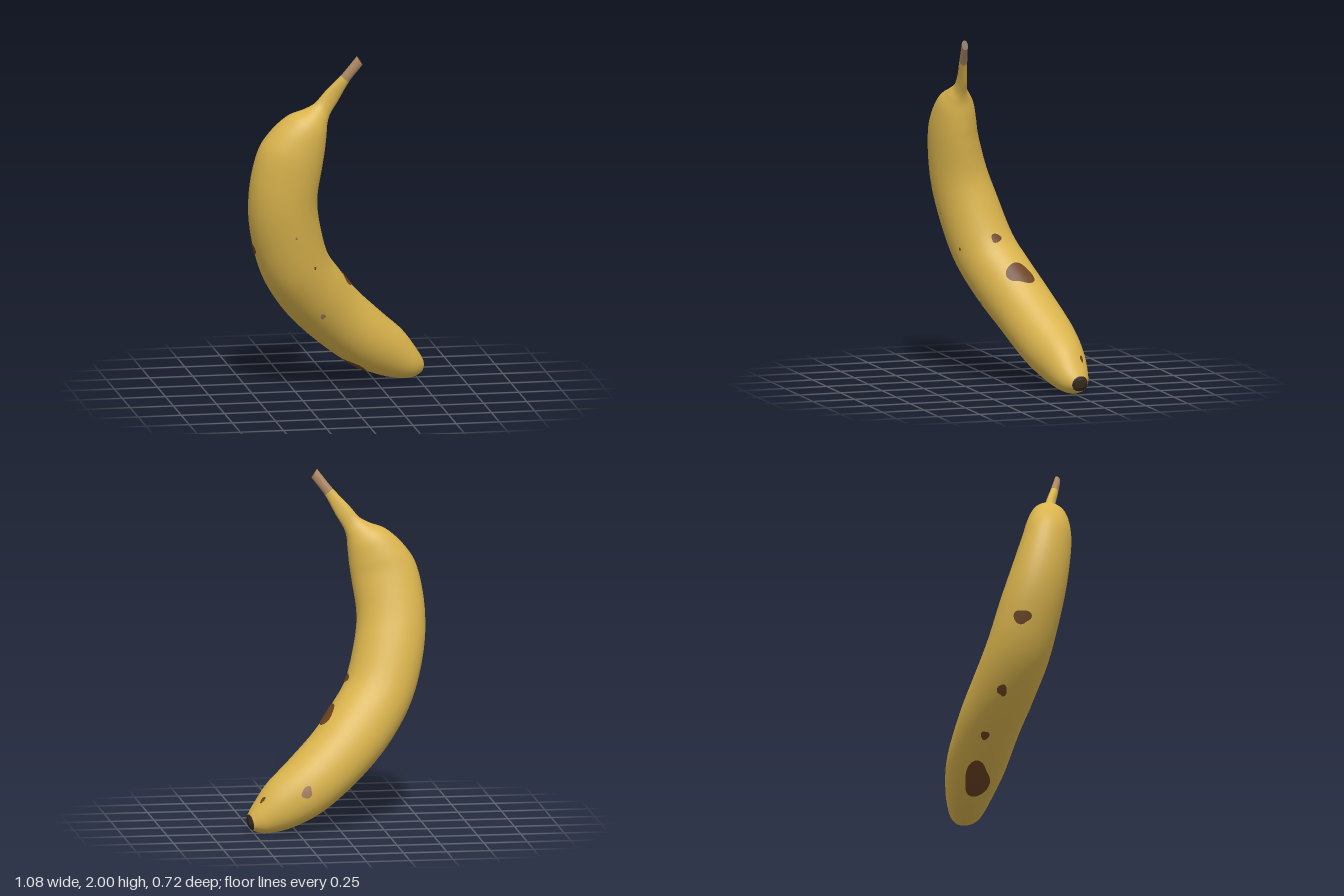
import * as THREE from 'three';

// Stations from stem to tip: outer x, y, inner x, y, centre z, sideways radius
const stations = [
  [0.058, 2.0, 0.09, 1.95, 0.279, 0.017], [-0.03, 1.887, 0.015, 1.85, 0.261, 0.022],
  [-0.12, 1.79, -0.045, 1.738, 0.242, 0.026], [-0.175, 1.725, -0.088, 1.665, 0.236, 0.036],
  [-0.235, 1.69, -0.106, 1.61, 0.236, 0.066], [-0.33, 1.65, -0.112, 1.54, 0.235, 0.102],
  [-0.43, 1.555, -0.12, 1.455, 0.23, 0.125], [-0.5, 1.43, -0.133, 1.36, 0.22, 0.139],
  [-0.537, 1.2, -0.155, 1.18, 0.181, 0.159], [-0.52, 0.96, -0.137, 1.03, 0.13, 0.173],
  [-0.44, 0.69, -0.08, 0.83, 0.06, 0.18], [-0.3, 0.47, 0.0, 0.71, -0.018, 0.181],
  [-0.12, 0.285, 0.12, 0.56, -0.106, 0.177], [0.1, 0.115, 0.285, 0.4, -0.182, 0.167],
  [0.28, 0.03, 0.41, 0.285, -0.221, 0.134], [0.43, 0.0, 0.49, 0.175, -0.243, 0.095],
  [0.508, 0.018, 0.526, 0.115, -0.26, 0.056], [0.533, 0.042, 0.537, 0.088, -0.262, 0.03],
];
const LAST = stations.length - 1;
const SIDES = 36;
const STEPS = 6;

const curve = (pick) => new THREE.CatmullRomCurve3(
  stations.map((s) => new THREE.Vector3(...pick(s))), false, 'catmullrom', 0.5);
const outerLine = curve(([x, y, , , z]) => [x, y, z]);
const innerLine = curve(([, , x, y, z]) => [x, y, z]);
const widthLine = curve((s) => [s[5], 0, 0]);

const centre = (k) =>
  outerLine.getPoint(k / LAST).add(innerLine.getPoint(k / LAST)).multiplyScalar(0.5);

// Change of the centre line per station, averaged over a span
function slope(k, span) {
  const a = Math.max(0, k - span), b = Math.min(LAST, k + span);
  return centre(b).sub(centre(a)).divideScalar(b - a);
}

// Skin point: angle 0 is the outer curve, PI the inner curve, PI / 2 the front
function skin(k, angle, lift = 0) {
  k = THREE.MathUtils.clamp(k, 0, LAST);
  const middle = centre(k);
  const outer = outerLine.getPoint(k / LAST).sub(middle);
  const depth = outer.length();
  outer.normalize();
  const side = new THREE.Vector3().crossVectors(outer, slope(k, 0.8)).normalize();
  const width = widthLine.getPoint(k / LAST).x;
  // soft ridge along the outer back
  const ridge = 1 + 0.12 * Math.max(0, Math.cos(angle + Math.PI / 4)) ** 4;
  return middle
    .addScaledVector(outer, (depth * ridge + lift) * Math.cos(angle))
    .addScaledVector(side, (width * ridge + lift) * Math.sin(angle));
}

function geometryFrom(points, index) {
  const geometry = new THREE.BufferGeometry().setFromPoints(points);
  geometry.setIndex(index);
  geometry.computeVertexNormals();
  return geometry;
}

// Closed skin with groups for stem, peel and tip
function skinGeometry() {
  const points = [], index = [];
  const rings = LAST * STEPS;
  for (let i = 0; i <= rings; i++) {
    for (let j = 0; j < SIDES; j++) points.push(skin(i / STEPS, (j / SIDES) * Math.PI * 2));
  }
  for (let i = 0; i < rings; i++) {
    for (let j = 0; j < SIDES; j++) {
      const a = i * SIDES + j, b = i * SIDES + ((j + 1) % SIDES);
      index.push(a, a + SIDES, b, b, a + SIDES, b + SIDES);
    }
  }
  const geometry = geometryFrom(points, index);
  const perRing = SIDES * 6;
  const cuts = [0, STEPS, 16 * STEPS + 1, rings];
  for (let m = 0; m < 3; m++) {
    geometry.addGroup(cuts[m] * perRing, (cuts[m + 1] - cuts[m]) * perRing, m);
  }
  return geometry;
}

// Flat lid over either end
function lidGeometry(k) {
  const points = [centre(k)], index = [];
  for (let j = 0; j < SIDES; j++) {
    points.push(skin(k, (j / SIDES) * Math.PI * 2));
    const a = j + 1, b = ((j + 1) % SIDES) + 1;
    if (k === 0) index.push(0, a, b);
    else index.push(0, b, a);
  }
  return geometryFrom(points, index);
}

// Thin blotch hugging the skin, with a wobbly outline
function spotGeometry(k, angle, length, width, seed) {
  const segments = 28, rings = 5;
  const dk = length / slope(k, 0.1).length();
  const da = width / widthLine.getPoint(k / LAST).x;
  const points = [skin(k, angle, 0.004)], index = [];
  for (let i = 1; i <= rings; i++) {
    for (let j = 0; j < segments; j++) {
      const t = (j / segments) * Math.PI * 2;
      const wobble = 1 + 0.13 * Math.sin(2 * t + seed) + 0.1 * Math.sin(3 * t + seed * 2.3);
      const s = (i / rings) * wobble;
      points.push(skin(k + dk * s * Math.cos(t), angle + da * s * Math.sin(t), 0.004));
      const next = (j + 1) % segments;
      const a = 1 + (i - 1) * segments + j, b = 1 + (i - 1) * segments + next;
      if (i === 1) index.push(0, a, b);
      else index.push(a - segments, a, b - segments, b - segments, a, b);
    }
  }
  return geometryFrom(points, index);
}

export function createModel() {
  const material = (name, color) => {
    const m = new THREE.MeshStandardMaterial({ color });
    m.name = name;
    return m;
  };
  const peel = material('yellow peel', 0xdab44d);
  const stem = material('dry stem', 0xae8862);
  const cut = material('stem cut', 0x6a5039);
  const dark = material('dark tip', 0x36281f);
  const bruise = material('brown bruise', 0x6c4320);
  const scuff = material('pale scuff', 0xa27c5a);

  const group = new THREE.Group();
  group.name = 'banana';
  const add = (name, geometry, mat) => {
    const mesh = new THREE.Mesh(geometry, mat);
    mesh.name = name;
    group.add(mesh);
  };

  add('fruit', skinGeometry(), [stem, peel, dark]);
  add('stemEnd', lidGeometry(0), cut);
  add('blossomEnd', lidGeometry(LAST), dark);

  // Station, angle, half length, half width, material
  const spots = [
    [11.47, Math.PI, 0.084, 0.07, bruise],
    [10.05, Math.PI + 0.1, 0.03, 0.034, bruise],
    [9.4, -0.14, 0.038, 0.045, bruise],
    [10.95, -0.12, 0.03, 0.024, bruise],
    [13.05, 0.04, 0.1, 0.075, bruise],
    [14.7, Math.PI + 0.55, 0.02, 0.012, bruise],
    [11.3, 1.27, 0.018, 0.014, scuff],
    [13.3, -1.58, 0.034, 0.026, scuff],
    [9.0, 1.7, 0.007, 0.006, scuff],
    [9.9, 2.0, 0.009, 0.007, bruise],
    [12.0, -0.15, 0.026, 0.02, bruise],
  ];
  spots.forEach(([k, angle, length, width, mat], i) =>
    add('spot' + (i + 1), spotGeometry(k, angle, length, width, i * 1.7), mat));

  return group;
}
